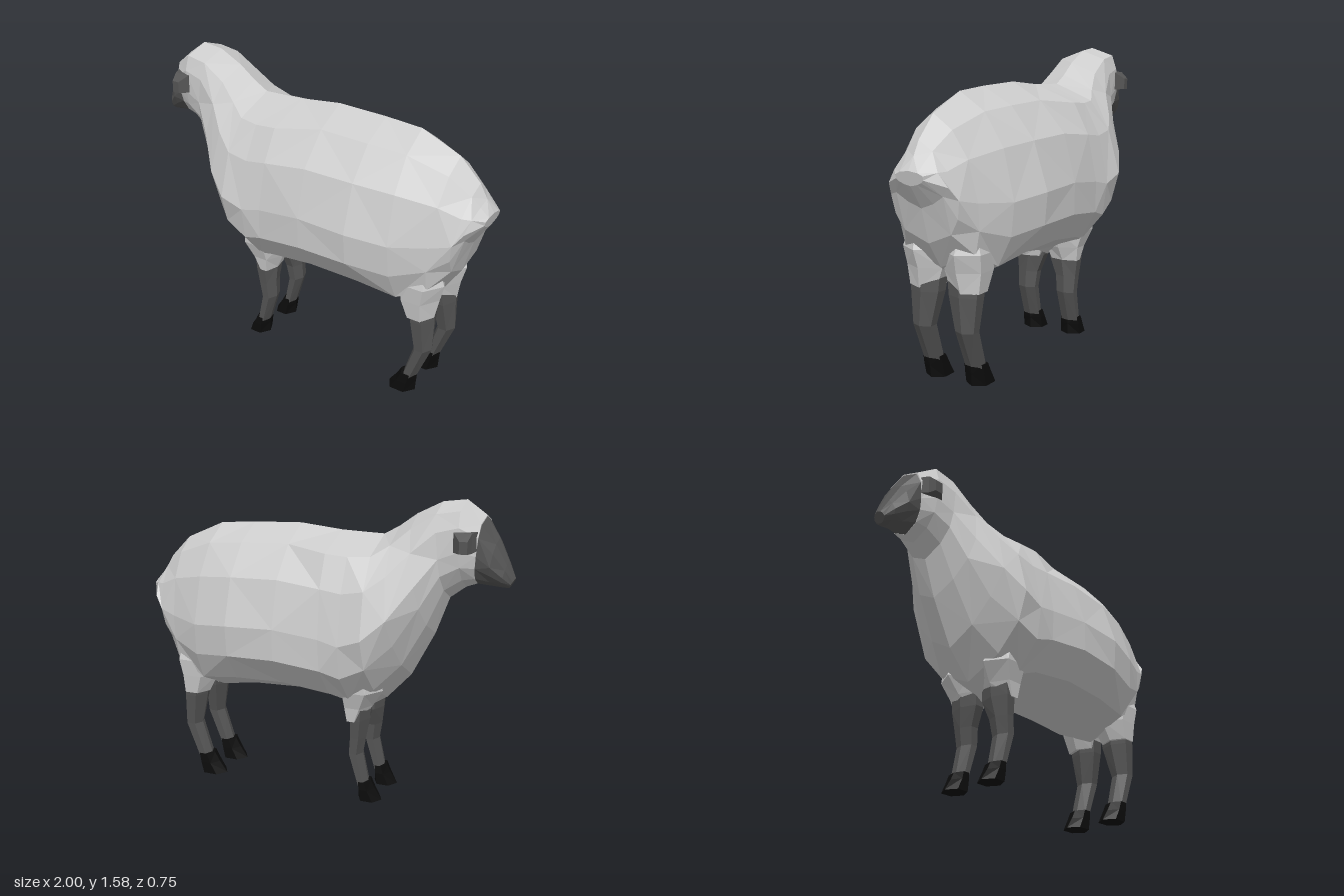
import * as THREE from 'three';

const material = (color) => new THREE.MeshStandardMaterial({ color, flatShading: true });

// Skin a series of closed rings and cap both ends
function loft(rings) {
  const n = rings[0].length, pos = [];
  const tri = (a, b, c) => pos.push(...a, ...b, ...c);
  for (let i = 0; i < rings.length - 1; i++) {
    for (let j = 0; j < n; j++) {
      const k = (j + 1) % n;
      const a = rings[i][j], b = rings[i + 1][j], c = rings[i + 1][k], d = rings[i][k];
      // alternate the diagonals, mirrored left to right
      const odd = (i + (j < n / 2 ? j : n - j)) % 2;
      if (odd) { tri(a, d, c); tri(a, c, b); } else { tri(a, d, b); tri(d, c, b); }
    }
  }
  [rings[0], rings[rings.length - 1]].forEach((r, end) => {
    const m = [0, 1, 2].map((q) => r.reduce((s, p) => s + p[q], 0) / n);
    for (let j = 0; j < n; j++) {
      const p = r[j], q = r[(j + 1) % n];
      if (end) tri(m, p, q); else tri(m, q, p);
    }
  });
  const g = new THREE.BufferGeometry();
  g.setAttribute('position', new THREE.Float32BufferAttribute(pos, 3));
  g.computeVertexNormals();
  return g;
}

// Symmetric body section: top point, bottom point, then half widths going down
const LEVELS = [0.1, 0.28, 0.55, 0.73, 0.89];
function section([tx, ty, bx, by, ...widths]) {
  const at = (t, z) => [tx + (bx - tx) * t, ty + (by - ty) * t, z];
  const left = widths.map((w, i) => at(LEVELS[i], w));
  const right = widths.map((w, i) => at(LEVELS[i], -w)).reverse();
  return [at(0, 0), ...left, at(1, 0), ...right];
}

// Horizontal six-sided ring from x range, height and z range
function legRing([x0, x1, y, z0, z1], side) {
  return Array.from({ length: 6 }, (_, k) => {
    const a = (k * Math.PI) / 3;
    return [(x0 + x1) / 2 + ((x1 - x0) / 2) * Math.cos(a), y,
      (side * (z0 + z1)) / 2 + ((z1 - z0) / 2) * Math.sin(a) * 1.15];
  });
}

// Upright four-cornered ear ring at distance z from the middle
function earRing([x0, x1, y0, y1, z], side) {
  return Array.from({ length: 4 }, (_, k) => {
    const a = Math.PI / 4 + (k * Math.PI) / 2, r = Math.SQRT1_2;
    return [(x0 + x1) / 2 + (x1 - x0) * r * Math.cos(a),
      (y0 + y1) / 2 + (y1 - y0) * r * Math.sin(a) * side, z * side];
  });
}

const BODY = [
  [-0.85, 1.505, -0.815, 1.17, 0.1, 0.125, 0.122, 0.11, 0.08],
  [-0.75, 1.575, -0.76, 1.15, 0.13, 0.155, 0.155, 0.14, 0.09],
  [-0.63, 1.56, -0.68, 1.09, 0.135, 0.165, 0.17, 0.155, 0.1],
  [-0.5, 1.495, -0.61, 0.9, 0.14, 0.2, 0.235, 0.2, 0.12],
  [-0.41, 1.43, -0.49, 0.67, 0.17, 0.27, 0.325, 0.25, 0.14],
  [-0.33, 1.385, -0.36, 0.53, 0.21, 0.315, 0.375, 0.33, 0.2],
  [-0.22, 1.388, -0.23, 0.45, 0.23, 0.315, 0.365, 0.34, 0.21],
  [-0.1, 1.392, -0.13, 0.49, 0.23, 0.31, 0.355, 0.35, 0.24],
  [0.13, 1.415, 0.13, 0.52, 0.16, 0.3, 0.362, 0.36, 0.25],
  [0.4, 1.405, 0.4, 0.51, 0.16, 0.285, 0.36, 0.345, 0.24],
  [0.6, 1.39, 0.62, 0.48, 0.14, 0.245, 0.305, 0.29, 0.22],
  [0.81, 1.3, 0.77, 0.58, 0.1, 0.18, 0.225, 0.225, 0.2],
  [0.92, 1.19, 0.86, 0.71, 0.07, 0.14, 0.19, 0.175, 0.13],
  [0.96, 1.12, 0.91, 0.88, 0.055, 0.12, 0.165, 0.13, 0.07],
  [1.0, 1.06, 0.985, 0.99, 0.05, 0.075, 0.075, 0.06, 0.035],
];
const FACE = [
  [-1.0, 1.21, -0.97, 1.16, 0.02, 0.03, 0.035, 0.03, 0.02],
  [-0.965, 1.29, -0.94, 1.16, 0.04, 0.06, 0.075, 0.065, 0.04],
  [-0.915, 1.4, -0.88, 1.165, 0.06, 0.095, 0.108, 0.09, 0.05],
  [-0.85, 1.5, -0.815, 1.17, 0.095, 0.122, 0.12, 0.108, 0.075],
];
const EAR = [
  [-0.84, -0.73, 1.35, 1.44, 0.11],
  [-0.82, -0.73, 1.34, 1.435, 0.16],
  [-0.81, -0.77, 1.34, 1.4, 0.2],
];
const LEGS = {
  front: {
    wool: [[-0.34, -0.16, 0.75, 0.1, 0.24], [-0.38, -0.14, 0.6, 0.01, 0.235],
      [-0.32, -0.16, 0.51, 0.01, 0.205], [-0.27, -0.19, 0.435, 0.04, 0.195]],
    leg: [[-0.31, -0.2, 0.52, 0.02, 0.19], [-0.305, -0.2, 0.44, 0.02, 0.19],
      [-0.29, -0.2, 0.34, 0.06, 0.18],
      [-0.275, -0.195, 0.25, 0.07, 0.175], [-0.31, -0.25, 0.08, 0.075, 0.17]],
    hoof: [[-0.32, -0.25, 0.1, 0.07, 0.175], [-0.34, -0.25, 0.06, 0.065, 0.178], [-0.38, -0.25, 0, 0.062, 0.178]],
  },
  rear: {
    wool: [[0.64, 0.78, 0.8, 0.08, 0.18], [0.58, 0.83, 0.66, 0.01, 0.222],
      [0.59, 0.805, 0.57, 0.005, 0.212], [0.64, 0.785, 0.47, 0.04, 0.198]],
    leg: [[0.65, 0.78, 0.55, 0.02, 0.195], [0.66, 0.785, 0.45, 0.03, 0.19],
      [0.69, 0.785, 0.28, 0.07, 0.175], [0.63, 0.705, 0.09, 0.075, 0.17]],
    hoof: [[0.62, 0.71, 0.11, 0.07, 0.175], [0.59, 0.705, 0.06, 0.065, 0.178], [0.545, 0.7, 0, 0.062, 0.178]],
  },
};

export function createModel() {
  const model = new THREE.Group();
  model.name = 'sheep';
  const wool = material(0xcccccc), skin = material(0x555555), horn = material(0x0c0c0c);
  const add = (name, geometry, mat, parent = model) => {
    const mesh = new THREE.Mesh(geometry, mat);
    mesh.name = name;
    parent.add(mesh);
  };

  // Woolly body with neck and crown, and the bare face
  add('woolBody', loft(BODY.map(section)), wool);
  add('face', loft(FACE.map(section)), skin);

  // Paired ears and legs
  for (const side of [1, -1]) {
    const label = side > 0 ? 'Left' : 'Right';
    add('ear' + label, loft(EAR.map((r) => earRing(r, side))), skin);
    for (const [end, parts] of Object.entries(LEGS)) {
      const limb = new THREE.Group();
      limb.name = end + 'Leg' + label;
      model.add(limb);
      const build = (rows) => loft(rows.map((r) => legRing(r, side)));
      add('upperLegWool', build(parts.wool), wool, limb);
      add('lowerLeg', build(parts.leg), skin, limb);
      add('hoof', build(parts.hoof), horn, limb);
    }
  }
  return model;
}
